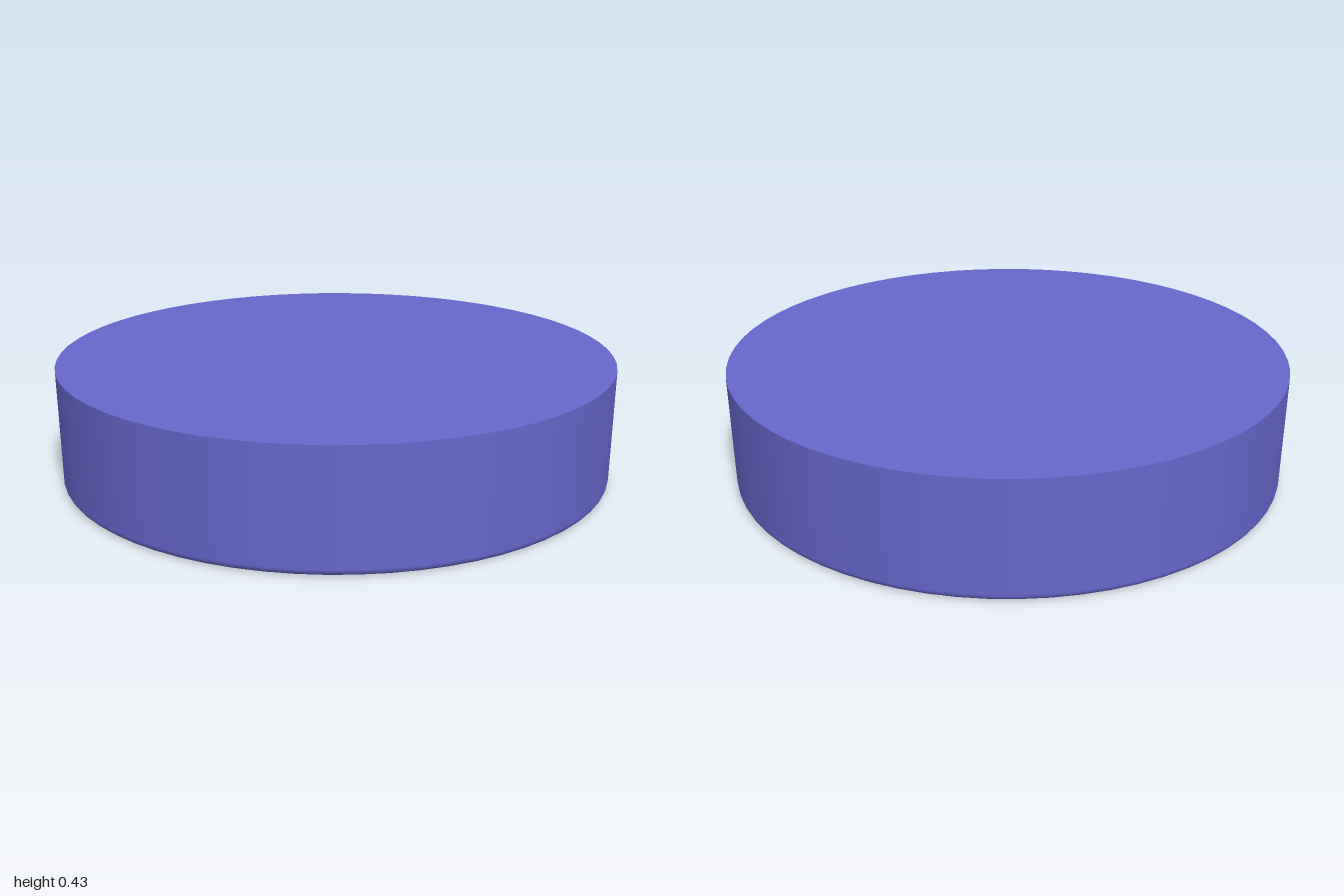
import * as THREE from 'three';

const SEGMENTS = 64;
const HEIGHT = 0.425;
const CEILING = 0.28;
const FILLET = 0.025;

// Quarter-round points about (cx, FILLET), from angle a0 to a1
function fillet(cx, a0, a1, steps = 6) {
  return Array.from({ length: steps + 1 }, (_, i) => {
    const a = a0 + ((a1 - a0) * i) / steps;
    return new THREE.Vector2(cx + FILLET * Math.cos(a), FILLET + FILLET * Math.sin(a));
  });
}

export function createModel() {
  const group = new THREE.Group();
  group.name = 'lid';
  const material = new THREE.MeshStandardMaterial({ color: 0x6666cc });

  const add = (name, geometry, y = 0, tilt = 0) => {
    const mesh = new THREE.Mesh(geometry, material);
    mesh.name = name;
    mesh.position.y = y;
    mesh.rotation.x = tilt;
    group.add(mesh);
  };

  // Drafted side wall: down the inside, around the rounded rim, up the outside
  const profile = [
    new THREE.Vector2(0.895, CEILING),
    ...fillet(0.95, Math.PI, Math.PI * 1.5),
    ...fillet(0.967, Math.PI * 1.5, Math.PI * 2),
    new THREE.Vector2(1, HEIGHT),
  ];
  add('sideWall', new THREE.LatheGeometry(profile, SEGMENTS));

  // Flat top, and the ceiling of the hollow facing down
  add('topFace', new THREE.CircleGeometry(1, SEGMENTS), HEIGHT, -Math.PI / 2);
  add('innerCeiling', new THREE.CircleGeometry(0.895, SEGMENTS), CEILING, Math.PI / 2);

  return group;
}
